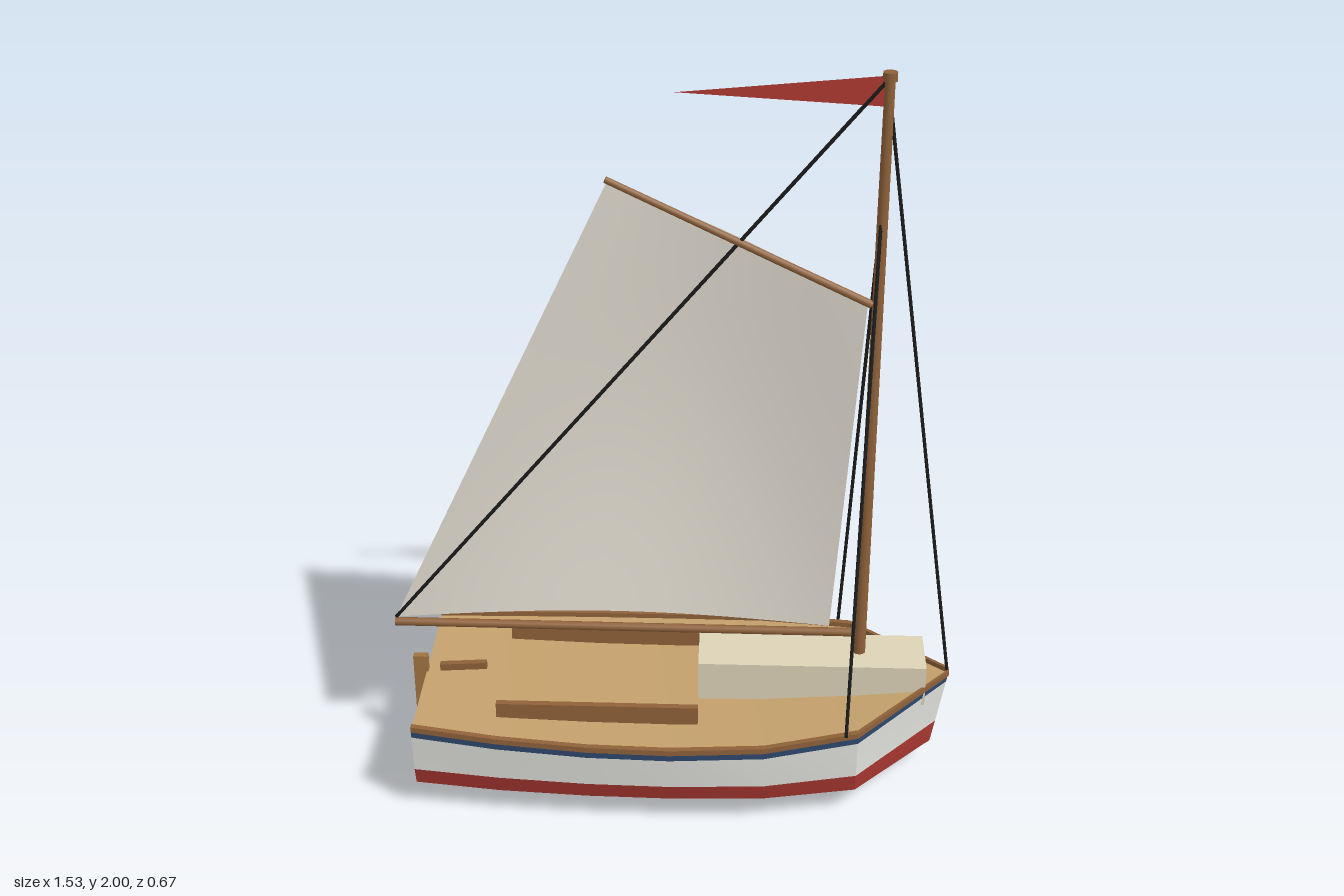
import * as THREE from 'three';
import { toCreasedNormals } from 'three/addons/utils/BufferGeometryUtils.js';

const V = (x, y, z) => new THREE.Vector3(x, y, z);
const mat = (color) => new THREE.MeshStandardMaterial({ color, side: THREE.DoubleSide });
const WHITE = mat(0xe4e4e0), RED = mat(0xb03a33), NAVY = mat(0x2f4a70), DECK = mat(0xc4a06c),
  WOOD = mat(0x8f623a), OAK = mat(0xa0743f), CREAM = mat(0xded3b8), CLOTH = mat(0xe6e0d4), ROPE = mat(0x1c1c1c);

// Surface through rows of points; it faces along (row step) x (point step)
function loft(rows, crease = 0.4) {
  const n = rows[0].length, index = [];
  for (let i = 0; i < rows.length - 1; i++) {
    for (let j = 0; j < n - 1; j++) {
      const a = i * n + j, b = a + 1, c = a + n, d = c + 1;
      index.push(a, c, b, b, c, d);
    }
  }
  const g = new THREE.BufferGeometry().setFromPoints(rows.flat());
  g.setIndex(index);
  return toCreasedNormals(g.toNonIndexed(), crease);
}

// Hull stations: x, half width, sheer height, keel height
const stations = [
  [-0.69, 0.288, 0.285, 0.065], [-0.46, 0.314, 0.272, 0.026], [-0.22, 0.33, 0.264, 0.008],
  [0, 0.334, 0.262, 0], [0.25, 0.323, 0.268, 0.009], [0.5, 0.27, 0.286, 0.03], [0.76, 0.008, 0.312, 0.065],
];

// Half section from keel to gunwale, with the stem raked at the bow
function section([x, w, top, keel], side) {
  const chine = Math.max(0.08, keel + 0.018);
  const pts = [[0, keel], [0.62 * w, keel + 0.38 * (chine - keel)], [0.91 * w, chine],
    [0.96 * w, 0.132 + 0.2 * (top - 0.262)], [w * 0.995, top - 0.036], [w, top - 0.014]];
  return pts.map(([z, y]) => V(x > 0.7 ? 0.72 + 0.04 * (y - 0.065) / 0.245 : x, y, z * side));
}

export function createModel() {
  const boat = new THREE.Group();
  const add = (name, geometry, material, parent = boat) => {
    const m = new THREE.Mesh(geometry, material);
    m.name = name;
    parent.add(m);
    return m;
  };
  const box = (name, size, pos, material) => {
    const m = add(name, new THREE.BoxGeometry(...size), material);
    m.position.set(...pos);
    return m;
  };
  // Round bar between two points
  const bar = (name, a, b, r0, r1, material, sides = 8) => {
    const m = add(name, new THREE.CylinderGeometry(r1, r0, a.distanceTo(b), sides), material);
    m.position.copy(a).lerp(b, 0.5);
    m.quaternion.setFromUnitVectors(V(0, 1, 0), b.clone().sub(a).normalize());
    return m;
  };

  // Painted hull bands and gunwale rail on both sides
  for (const side of [1, -1]) {
    const label = side > 0 ? 'Left' : 'Right';
    const orient = (row) => (side > 0 ? row : row.reverse());
    const band = (from, to) => loft(stations.map((s) => orient(section(s, side).slice(from, to + 1))));
    add('hullBottom' + label, band(0, 3), RED);
    add('hullTopside' + label, band(3, 4), WHITE);
    add('hullStripe' + label, band(4, 5), NAVY);
    const rail = stations.map(([x, w, top]) => {
      const o = w + 0.003, i = Math.max(0, w - 0.013), lo = top - 0.016;
      return orient([[o, lo], [o, top], [i, top], [i, lo], [o, lo]].map(([z, y]) => V(x, y, z * side)));
    });
    const cap = (row) => row.map(() => row[0].clone().lerp(row[2], 0.5));
    add('rail' + label, loft([cap(rail[0]), ...rail, cap(rail[rail.length - 1])]), WOOD);
  }

  // Transom, stem and deck
  const ends = (s) => [section(s, -1), section(s, 1)];
  add('transom', loft(ends(stations[0])), OAK);
  add('stem', loft(ends(stations[6]).reverse()), WHITE);
  add('deck', loft(stations.map(([x, w, top]) => [V(x, top - 0.014, w), V(x, top - 0.014, -w)])), DECK);

  // Cabin, benches, rudder and tiller
  box('cabin', [0.62, 0.12, 0.16], [0.38, 0.305, 0], CREAM);
  for (const z of [0.19, -0.19]) box('bench', [0.545, 0.06, 0.018], [-0.2, 0.272, z], WOOD);
  box('rudder', [0.04, 0.25, 0.02], [-0.705, 0.195, 0], OAK);
  box('tiller', [0.13, 0.02, 0.018], [-0.585, 0.294, 0.008], WOOD).rotation.z = 0.07;

  // Mast and spars
  bar('mast', V(0.51, 0.25, 0), V(0.51, 1.985, 0), 0.018, 0.013, WOOD, 10);
  bar('mastCap', V(0.51, 1.978, 0), V(0.51, 2, 0), 0.018, 0.018, WOOD, 10);
  bar('boom', V(-0.768, 0.43, 0), V(0.51, 0.426, 0), 0.012, 0.012, WOOD);
  bar('gaff', V(-0.168, 1.723, 0), V(0.495, 1.403, 0), 0.009, 0.011, WOOD);

  // Four-cornered sail, bellied away from the spars
  const rows = [];
  for (let i = 0; i <= 16; i++) {
    const u = i / 16, row = [];
    for (let j = 0; j <= 12; j++) {
      const v = j / 12;
      const p = V(-0.765, 0.445, 0).lerp(V(0.425, 0.445, 0), u)
        .lerp(V(-0.165, 1.715, 0).lerp(V(0.485, 1.4, 0), u), v);
      p.z = -Math.sin(Math.PI * u) * (0.052 + 0.034 * Math.sin(Math.PI * v));
      row.push(p);
    }
    rows.push(row);
  }
  add('sail', loft(rows, 1), CLOTH);

  // Pennant
  const flag = new THREE.Shape([[0.502, 1.915], [0.502, 1.99], [0, 1.944]].map(([x, y]) => new THREE.Vector2(x, y)));
  add('pennant', new THREE.ShapeGeometry(flag), RED);

  // Standing rigging
  const stay = (name, a, b) => bar(name, a, b, 0.005, 0.005, ROPE, 6);
  stay('backstay', V(-0.765, 0.445, 0), V(0.505, 1.98, 0));
  stay('forestay', V(0.755, 0.31, 0), V(0.515, 1.92, 0));
  for (const s of [1, -1]) stay('shroud', V(0.467, 0.282, 0.284 * s), V(0.507, 1.66, 0));

  return boat;
}
